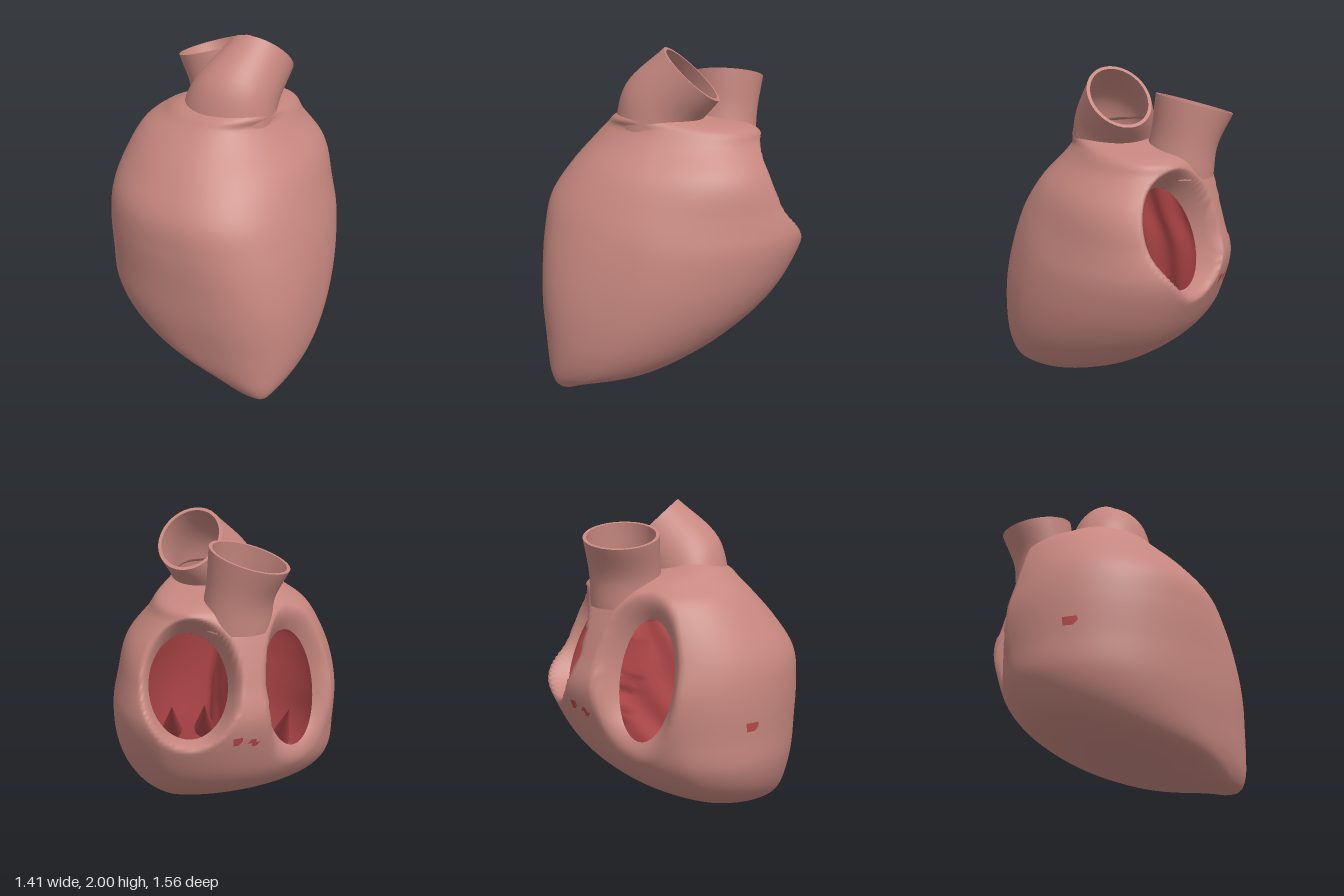
import * as THREE from 'three';
import { toCreasedNormals } from 'three/addons/utils/BufferGeometryUtils.js';

const { lerp, smoothstep } = THREE.MathUtils;
const V = (x, y, z) => new THREE.Vector3(x, y, z);

// Two axes spanning the plane across a normal: u level, v pointing up the plane
function frame(n) {
  const normal = n.clone().normalize();
  const u = Math.abs(normal.y) > 0.6
    ? V(1, 0, 0).addScaledVector(normal, -normal.x).normalize()
    : V(0, 1, 0).cross(normal).normalize();
  return { n: normal, u, v: normal.clone().cross(u) };
}

function ellipseRing(c, f, a, b, seg) {
  return Array.from({ length: seg }, (_, j) => {
    const t = (j / seg) * Math.PI * 2;
    return c.clone().addScaledVector(f.u, a * Math.cos(t)).addScaledVector(f.v, b * Math.sin(t));
  });
}

// Skin closed rings; keep(a, b, c) can leave triangles out
function loft(rings, keep = () => true) {
  const seg = rings[0].length, index = [];
  for (let i = 0; i < rings.length - 1; i++) {
    for (let j = 0; j < seg; j++) {
      const a = i * seg + j, b = i * seg + (j + 1) % seg, c = a + seg, d = b + seg;
      if (keep(a, c, b)) index.push(a, c, b);
      if (keep(b, c, d)) index.push(b, c, d);
    }
  }
  const g = new THREE.BufferGeometry().setFromPoints(rings.flat());
  g.setIndex(index);
  g.computeVertexNormals();
  return g;
}

// Close both ends of a stack of rings at their middles
function capped(rings) {
  const shrink = ring => {
    const m = ring.reduce((s, p) => s.addScaledVector(p, 1 / ring.length), V(0, 0, 0));
    return ring.map(() => m.clone());
  };
  return [shrink(rings[0]), ...rings, shrink(rings[rings.length - 1])];
}

// Openings: the two valves sit in funnels (rim = funnel width), the vessel roots are plain cuts
const opening = o => ({ ...o, f: frame(o.n) });
const VALVES = [
  // from, to: arc of the wall lined by the chamber; low: first slice; fill: share of the slice
  { name: 'leftVentricle', c: V(-0.015, 1.09, -0.505), n: V(-0.42, 0.38, -0.82), a: 0.225, b: 0.3, rim: 1.22, end: V(0.32, 0.45, 0.3), from: 238, to: 428, low: 2.4, fill: 0.88 },
  { name: 'rightVentricle', c: V(-0.49, 1.0, -0.11), n: V(-0.82, 0.2, -0.52), a: 0.19, b: 0.35, rim: 1.42, end: V(-0.25, 0.42, 0.36), from: 82, to: 227, low: 3.8, fill: 0.93 },
].map(opening);
const ROOTS = [
  { c: V(-0.21, 1.5, -0.24), n: V(0, 1, 0), a: 0.18, b: 0.19, rim: 1 },
  { c: V(0.045, 1.5, 0.08), n: V(0, 1, 0), a: 0.235, b: 0.21, rim: 1 },
].map(opening);
const SPOTS = [V(-0.58, 0.77, 0.48), V(-0.4, 0.79, -0.49), V(-0.33, 0.82, -0.52)];

// Level slices of the heart given by their extents [y, xMin, xMax, zMin, zMax]
const KEYS = [
  [0, 0.46, 0.55, 0.5, 0.6], [0.03, 0.33, 0.58, 0.38, 0.64], [0.1, 0.08, 0.63, 0.05, 0.68],
  [0.2, -0.3, 0.67, -0.2, 0.715], [0.33, -0.54, 0.695, -0.4, 0.74], [0.5, -0.67, 0.703, -0.58, 0.765],
  [0.7, -0.7, 0.69, -0.71, 0.775], [0.93, -0.71, 0.65, -0.79, 0.78], [1.12, -0.67, 0.59, -0.72, 0.755],
  [1.3, -0.61, 0.51, -0.63, 0.64], [1.45, -0.53, 0.385, -0.535, 0.51], [1.54, -0.41, 0.325, -0.46, 0.42],
  [1.6, -0.29, 0.3, -0.14, 0.355], [1.68, -0.12, 0.22, -0.05, 0.2],
];
const LAST = KEYS.length - 1;
const LOW = new THREE.CatmullRomCurve3(KEYS.map(k => V(k[1], k[0], k[3])), false, 'catmullrom');
const HIGH = new THREE.CatmullRomCurve3(KEYS.map(k => V(k[2], k[0], k[4])), false, 'catmullrom');

// Outline of slice k (counted in KEYS): returns angle -> point, rounder or squarer by quarter
function slice(k, fill = 1) {
  const p = LOW.getPoint(k / LAST), q = HIGH.getPoint(k / LAST);
  const cx = lerp(p.x, q.x, 0.55), cz = lerp(p.z, q.z, 0.55);
  const front = lerp(3.1, 2, smoothstep(p.y, 0.5, 1.4)), back = lerp(1.7, 2.3, smoothstep(p.y, 0.95, 1.35));
  return t => {
    const c = Math.cos(t), s = Math.sin(t);
    const e = s >= 0 ? (c >= 0 ? front : 2.1) : (c >= 0 ? back : 1.52);
    const r = fill * Math.pow(Math.pow(Math.abs(c), e) + Math.pow(Math.abs(s), e), -1 / e);
    return V(cx + r * c * (c > 0 ? q.x - cx : cx - p.x), p.y, cz + r * s * (s > 0 ? q.z - cz : cz - p.z));
  };
}

// Snap points to an opening's ellipse, press its funnel inward, and return the set inside
function press(points, o, depth) {
  const inside = new Set();
  points.forEach((p, i) => {
    const d = p.clone().sub(o.c);
    let x = d.dot(o.f.u), y = d.dot(o.f.v), h = d.dot(o.f.n);
    const s = Math.hypot(x / o.a, y / o.b);
    if (h < -depth || s > o.rim) return;
    if (s < 1) {
      inside.add(i);
      x /= Math.max(s, 1e-3);
      y /= Math.max(s, 1e-3);
    }
    if (o.rim > 1) h *= Math.max(0, (s - 1) / (o.rim - 1));
    p.copy(o.c).addScaledVector(o.f.u, x).addScaledVector(o.f.v, y).addScaledVector(o.f.n, h);
  });
  return inside;
}

function heartWall() {
  const levels = 120, seg = 160;
  const rings = capped(Array.from({ length: levels + 1 }, (_, i) => {
    const outline = slice((i / levels) * LAST);
    return Array.from({ length: seg }, (_, j) => outline((j / seg) * Math.PI * 2));
  }));
  const points = rings.flat();
  const inside = [...VALVES.map(o => press(points, o, 0.2)), ...ROOTS.map(o => press(points, o, 0.04))];
  const solid = (a, b, c) => !inside.some(set => set.has(a) && set.has(b) && set.has(c));
  // Small red flecks where the lining shows through the skin
  const fleck = (a, b, c) => {
    const m = points[a].clone().add(points[b]).add(points[c]).divideScalar(3);
    return SPOTS.some(s => Math.hypot(m.x - s.x, m.y - s.y, (m.z - s.z) * 0.3) < 0.025);
  };
  return {
    skin: loft(rings, (a, b, c) => solid(a, b, c) && !fleck(a, b, c)),
    flecks: loft(rings, (a, b, c) => solid(a, b, c) && fleck(a, b, c)),
  };
}

// Chamber: follows the wall from inside, closed by the curved partition
function chamber(o) {
  const levels = 48, arc = 64, across = 32, rad = Math.PI / 180;
  const rings = capped(Array.from({ length: levels + 1 }, (_, i) => {
    const outline = slice(lerp(o.low, 9.9, i / levels), o.fill);
    const ring = Array.from({ length: arc }, (_, j) => outline(lerp(o.from, o.to, j / (arc - 1)) * rad));
    const a = ring[arc - 1], b = ring[0];
    const partition = new THREE.QuadraticBezierCurve3(a, a.clone().lerp(b, 0.5).add(V(-0.12, 0, 0)), b);
    for (let j = 1; j < across; j++) {
      const p = partition.getPoint(j / across);
      p.x += 0.012 * Math.sin(j * 0.9 + i * 0.35);
      ring.push(p);
    }
    return ring;
  }));
  const inside = press(rings.flat(), o, 0.1);
  return loft(rings, (a, b, c) => !(inside.has(a) && inside.has(b) && inside.has(c)));
}

// Open vessel through sections [centre, normal, width radius, depth radius];
// the lowest `depth` inner rings and the floor are red where isRed(point) holds
function vessel(sections, wall, depth, isRed) {
  const curve = pick => new THREE.CatmullRomCurve3(sections.map(pick));
  const centre = curve(s => s[0]), normal = curve(s => s[1]), size = curve(s => V(s[2], s[3], 0));
  const outer = [], inner = [];
  for (let i = 0; i <= 14; i++) {
    const k = i / 14, c = centre.getPoint(k), f = frame(normal.getPoint(k)), r = size.getPoint(k);
    outer.push(ellipseRing(c, f, r.x, r.y, 48));
    inner.unshift(ellipseRing(c, f, r.x - wall, r.y - wall, 48));
  }
  const floor = sections[0][0].clone().add(V(0, -0.13, 0));
  const base = [...inner.slice(-depth), inner[14].map(() => floor.clone())];
  const points = base.flat();
  const red = (a, b, c) => isRed(points[a].clone().add(points[b]).add(points[c]).divideScalar(3));
  return {
    tube: toCreasedNormals(loft([...outer, ...inner.slice(0, 16 - depth)]), 0.9),
    floor: loft(base, (a, b, c) => !red(a, b, c)),
    lining: loft(base, red),
  };
}

export function createModel() {
  const group = new THREE.Group();
  group.name = 'heart';
  const muscle = new THREE.MeshStandardMaterial({ name: 'salmon muscle', color: 0xc6877f, side: THREE.DoubleSide });
  const red = new THREE.MeshStandardMaterial({ name: 'inner red', color: 0xb5484a, side: THREE.DoubleSide });
  const add = (name, geometry, material) => {
    const mesh = new THREE.Mesh(geometry, material);
    mesh.name = name;
    group.add(mesh);
    return mesh;
  };
  const wall = heartWall();
  add('heartWall', wall.skin, muscle);
  add('redFlecks', wall.flecks, red);

  // Chambers with their small inner muscles
  for (const o of VALVES) {
    add(o.name + 'Lining', chamber(o), red);
    for (const side of [-1, 1]) {
      const at = (t, x) => o.c.clone().lerp(o.end, t).addScaledVector(o.f.u, x * o.a);
      const base = at(1.1, side * 0.5), tip = at(0.45, side * 0.45);
      const pillar = add(o.name + 'InnerMuscle', new THREE.ConeGeometry(0.07, base.distanceTo(tip), 12), red);
      pillar.position.copy(base).lerp(tip, 0.5);
      pillar.quaternion.setFromUnitVectors(V(0, 1, 0), tip.clone().sub(base).normalize());
    }
  }

  // Front vessel leans back from the top, rear vessel stands behind it
  const vessels = {
    frontVessel: vessel([
      [V(0.02, 1.42, 0.12), V(0, 0.95, -0.3), 0.3, 0.26],
      [V(0.05, 1.64, 0.08), V(0, 0.85, -0.53), 0.26, 0.25],
      [V(0.12, 1.85, -0.12), V(0, 0.73, -0.68), 0.19, 0.22],
    ], 0.02, 2, p => p.x > 0),
    rearVessel: vessel([
      [V(-0.2, 1.4, -0.24), V(-0.05, 1, 0), 0.21, 0.22],
      [V(-0.23, 1.58, -0.25), V(-0.15, 0.98, 0), 0.195, 0.21],
      [V(-0.29, 1.805, -0.265), V(-0.28, 0.96, 0), 0.235, 0.22],
    ], 0.02, 6, p => p.x > -0.24),
  };
  for (const [name, parts] of Object.entries(vessels)) {
    add(name, parts.tube, muscle);
    add(name + 'Floor', parts.floor, muscle);
    add(name + 'Lining', parts.lining, red);
  }
  return group;
}
